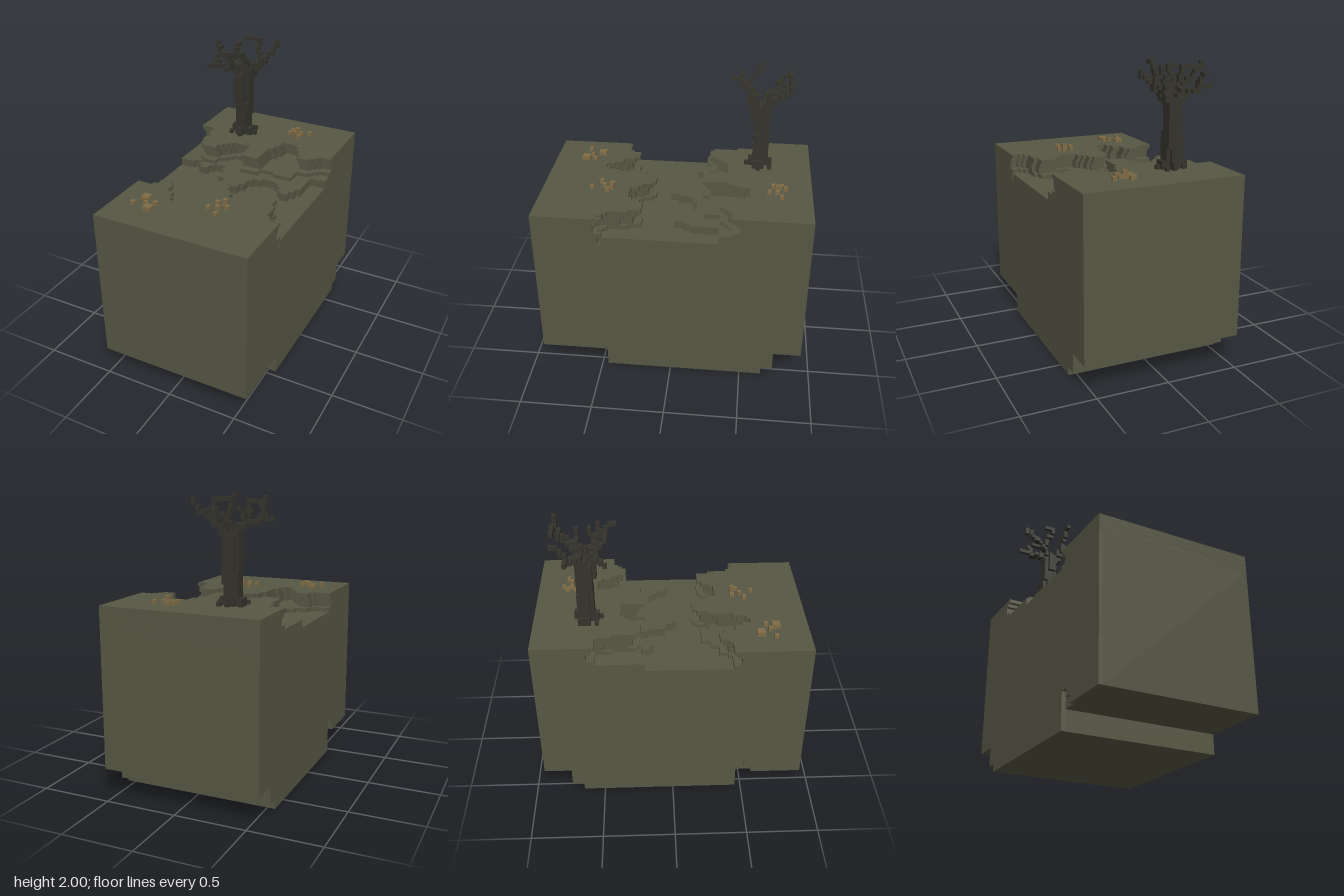
import * as THREE from 'three';
import { mergeGeometries } from 'three/addons/utils/BufferGeometryUtils.js';

const V = 2 / 72;            // voxel size
const HX = 20, HZ = 33.5;    // half extents in voxels

const mat = (name, color) => {
  const m = new THREE.MeshStandardMaterial({ color });
  m.name = name;
  return m;
};

export function createModel() {
  const group = new THREE.Group();
  const rock = mat('olive rock', 0x575745);
  const bark = mat('dark bark', 0x34332b);
  const tan = mat('dry tan', 0x7f6c46);
  const add = (name, geo, material) => {
    const mesh = new THREE.Mesh(geo, material);
    mesh.name = name;
    group.add(mesh);
  };

  // ---- Ground block: side profile (z, y in voxels) extruded across x ----
  const poly = pts => pts.map(([z, y]) => new THREE.Vector2(-z * V, y * V));
  const slab = (name, pts, x0, x1, holes = []) => {
    const s = new THREE.Shape(poly(pts));
    holes.forEach(h => s.holes.push(new THREE.Path(poly(h))));
    const g = new THREE.ExtrudeGeometry(s, { depth: (x1 - x0) * V, bevelEnabled: false });
    g.rotateY(Math.PI / 2).translate(x0 * V, 0, 0);
    add(name, g, rock);
  };
  const under = [[-HZ, 40], [-HZ, 7], [-26.5, 7], [-26.5, 2], [-23.5, 2], [-23.5, 0], [16.5, 0]];
  const front = [[16.5, 5], [HZ, 5], [HZ, 40]];
  slab('groundBlock', [...under, ...front], -HX + 1, HX - 1);
  // left end has a slot and a small notch under the bank
  slab('leftEnd', [...under, ...front, [17.5, 40], [17.5, 38], [16.5, 38], [16.5, 40]], HX - 1, HX,
    [[[16.5, 17], [18.5, 17], [18.5, 23], [16.5, 23]]]);
  // right end has a notch above the front overhang
  slab('rightEnd', [...under, [16.5, 9], [18.5, 9], [18.5, 7], [20.5, 7], [20.5, 5], [HZ, 5], [HZ, 40]], -HX, -HX + 1);

  // ---- Stepped banks: edge lines (x, z) snapped to the voxel grid ----
  const edge = pts => Array.from({ length: 2 * HX }, (_, i) => {
    const x = (i - HX + 0.5) * V;
    let k = 0;
    while (k < pts.length - 2 && pts[k + 1][0] < x) k++;
    const [a, b] = [pts[k], pts[k + 1]];
    const t = THREE.MathUtils.clamp((x - a[0]) / (b[0] - a[0]), 0, 1);
    return Math.round((a[1] + (b[1] - a[1]) * t) / V - 0.5) + 0.5;
  });
  const layer = (name, line, far, inset, y0, y1) => {
    const s = new THREE.Shape();
    const dir = Math.sign(far);
    s.moveTo(-HX * V, -far * V);
    line.forEach((z, i) => {
      const e = -(z + dir * inset) * V;
      if (i === 0 || line[i - 1] !== z) s.lineTo((i - HX) * V, e);
      if (i === line.length - 1 || line[i + 1] !== z) s.lineTo((i + 1 - HX) * V, e);
    });
    s.lineTo(HX * V, -far * V);
    const g = new THREE.ExtrudeGeometry(s, { depth: (y1 - y0) * V, bevelEnabled: false });
    g.rotateX(-Math.PI / 2).translate(0, y0 * V, 0);
    add(name, g, rock);
  };

  const plateau = edge([[-0.56, -0.51], [-0.44, -0.5], [-0.43, -0.4], [-0.41, -0.24], [-0.36, -0.2],
    [-0.3, -0.2], [-0.24, -0.3], [-0.2, -0.34], [-0.07, -0.34], [-0.05, -0.17], [0.07, -0.17],
    [0.08, -0.34], [0.12, -0.43], [0.16, -0.52], [0.23, -0.53], [0.27, -0.47], [0.32, -0.37],
    [0.33, -0.31], [0.42, -0.31], [0.44, -0.38], [0.56, -0.42]]);
  const step = edge([[-0.56, -0.18], [-0.45, -0.18], [-0.41, -0.22], [-0.36, -0.13], [-0.31, -0.14],
    [-0.27, -0.2], [-0.19, -0.2], [-0.16, -0.06], [-0.11, -0.02], [-0.08, 0.03], [0.02, 0.03],
    [0.05, -0.04], [0.08, -0.12], [0.15, -0.14], [0.26, -0.14], [0.31, -0.07], [0.34, -0.02],
    [0.38, -0.02], [0.43, -0.1], [0.44, -0.32], [0.56, -0.32]]);
  const terrace = edge([[-0.56, 0.39], [-0.44, 0.39], [-0.42, 0.33], [-0.33, 0.32], [-0.3, 0.42],
    [-0.25, 0.45], [-0.22, 0.53], [-0.16, 0.53], [-0.12, 0.42], [-0.1, 0.28], [-0.08, 0.18],
    [-0.02, 0.15], [0.05, 0.18], [0.08, 0.25], [0.13, 0.33], [0.24, 0.33], [0.31, 0.22],
    [0.34, 0.2], [0.42, 0.2], [0.44, 0.36], [0.47, 0.46], [0.51, 0.49], [0.56, 0.46]]);
  const inBay = (i, a, b) => (i - HX + 0.5) * V > a && (i - HX + 0.5) * V < b;
  const ledge = plateau.map((z, i) => inBay(i, 0.07, 0.33) ? Math.max(z, i % 9 < 5 ? -7.5 : -8.5) : z);
  const sill = terrace.map((z, i) => inBay(i, -0.33, -0.09) ? Math.min(z, inBay(i, -0.27, -0.13) ? 7.5 : 9.5) : z);

  layer('backStep', step.map((z, i) => Math.max(z, ledge[i])), -HZ, 0, 40, 42);
  layer('backLedge', ledge, -HZ, 0, 42, 43);
  layer('backUndercut', plateau, -HZ, 2, 43, 45);
  layer('backLip', plateau, -HZ, 1, 45, 46);
  layer('backPlateau', plateau, -HZ, 0, 46, 47);
  layer('frontSill', sill, HZ, 0, 40, 41);
  layer('frontUndercut', terrace, HZ, 2, 41, 43);
  layer('frontLip', terrace, HZ, 1, 43, 44);
  layer('frontTerrace', terrace, HZ, 0, 44, 45);

  // ---- Small voxel things: boxes given in voxel corner and size ----
  const box = (x, y, z, w = 1, h = 1, d = 1) => new THREE.BoxGeometry(w * V, h * V, d * V)
    .translate((x + w / 2) * V, (y + h / 2) * V, (z + d / 2) * V);
  const cell = v => Math.floor(v / V);
  const cellZ = v => Math.floor(v / V - 0.5) + 0.5;

  // Dry clumps: x, z, width, height
  const clump = (name, y, list) => add(name, mergeGeometries(list.map(([x, z, w = 1, h = 1]) =>
    box(cell(x), y, cellZ(z), w, h, w))), tan);
  clump('dryClumpBack', 47, [[0.15, -0.75], [0.12, -0.72], [0.26, -0.73, 1, 1], [0.12, -0.67],
    [0.2, -0.65], [0.18, -0.7, 1, 2], [0.15, -0.7], [0.2, -0.7]]);
  clump('dryClumpFront', 45, [[0.1, 0.44], [0.15, 0.44, 1, 2], [0.18, 0.47], [0.12, 0.5],
    [0.07, 0.52], [0.15, 0.58]]);
  clump('dryClumpCorner', 45, [[-0.37, 0.59, 2], [-0.29, 0.7, 2], [-0.4, 0.69], [-0.32, 0.66], [-0.27, 0.64]]);

  // ---- Bare tree ----
  const trunk = [box(-9, 47, -22.5, 2, 16, 4), box(-10, 47, -21.5, 4, 16, 2),
    box(-10, 48, -22.5, 1, 7, 1), box(-7, 52, -22.5, 1, 10, 1), box(-10, 56, -19.5, 1, 7, 1),
    box(-7, 47, -19.5, 1, 9, 1), box(-9, 59, -18.5, 2, 5, 1)];
  add('treeTrunk', mergeGeometries(trunk), bark);
  add('treeRoots', mergeGeometries([box(-11, 47, -22.5, 1, 2, 3), box(-6, 47, -21.5, 1, 2, 3),
    box(-9, 47, -18.5, 2, 2, 1), box(-8, 47, -23.5, 1, 2, 1), box(-5, 47, -20.5, 1, 1, 1),
    box(-8, 47, -17.5, 1, 1, 1), box(-11, 47, -18.5, 1, 1, 1), box(-6, 47, -23.5, 1, 1, 1)]), bark);

  // Branches: voxels laid along paths in world units
  const seen = new Set(), twigs = [];
  const branch = (pts, thick = 1) => {
    for (let k = 0; k < pts.length - 1; k++) {
      const a = new THREE.Vector3(...pts[k]), b = new THREE.Vector3(...pts[k + 1]);
      const n = Math.ceil(a.distanceTo(b) / V * 1.5);
      for (let i = 0; i <= n; i++) {
        const p = a.clone().lerp(b, i / n);
        const c = [cell(p.x), Math.min(71, cell(p.y)), cellZ(p.z)];
        if (seen.has(c + '')) continue;
        seen.add(c + '');
        twigs.push(box(...c, thick, 1, thick));
      }
    }
  };
  branch([[-0.23, 1.72, -0.6], [-0.27, 1.8, -0.6], [-0.32, 1.82, -0.64], [-0.35, 1.83, -0.66]], 2);
  branch([[-0.21, 1.72, -0.6], [-0.17, 1.82, -0.63], [-0.15, 1.86, -0.67]], 2);
  branch([[-0.21, 1.72, -0.57], [-0.18, 1.8, -0.53], [-0.16, 1.84, -0.5]], 2);
  branch([[-0.23, 1.74, -0.57], [-0.28, 1.81, -0.52], [-0.32, 1.82, -0.49]], 1);
  branch([[-0.35, 1.83, -0.66], [-0.43, 1.86, -0.67]]);
  branch([[-0.35, 1.84, -0.66], [-0.35, 1.91, -0.7], [-0.35, 1.94, -0.75]]);
  branch([[-0.32, 1.82, -0.49], [-0.36, 1.84, -0.46], [-0.43, 1.86, -0.43]]);
  branch([[-0.36, 1.84, -0.46], [-0.4, 1.9, -0.49], [-0.39, 1.95, -0.54], [-0.43, 1.98, -0.56]]);
  branch([[-0.3, 1.82, -0.5], [-0.28, 1.9, -0.45], [-0.27, 1.96, -0.41], [-0.33, 1.96, -0.41]]);
  branch([[-0.15, 1.86, -0.67], [-0.17, 1.9, -0.72], [-0.17, 1.98, -0.75], [-0.28, 1.98, -0.75]]);
  branch([[-0.14, 1.86, -0.67], [-0.1, 1.89, -0.71], [-0.06, 1.92, -0.74], [-0.05, 1.99, -0.75]]);
  branch([[-0.15, 1.84, -0.63], [-0.09, 1.85, -0.62], [-0.07, 1.9, -0.62]]);
  branch([[-0.16, 1.84, -0.5], [-0.1, 1.87, -0.5], [-0.06, 1.91, -0.46], [-0.04, 1.92, -0.46]]);
  branch([[-0.1, 1.87, -0.5], [-0.05, 1.9, -0.54]]);
  branch([[-0.15, 1.84, -0.5], [-0.15, 1.9, -0.46], [-0.15, 1.97, -0.41], [-0.15, 1.99, -0.36]]);
  add('treeBranches', mergeGeometries(twigs), bark);

  return group;
}
